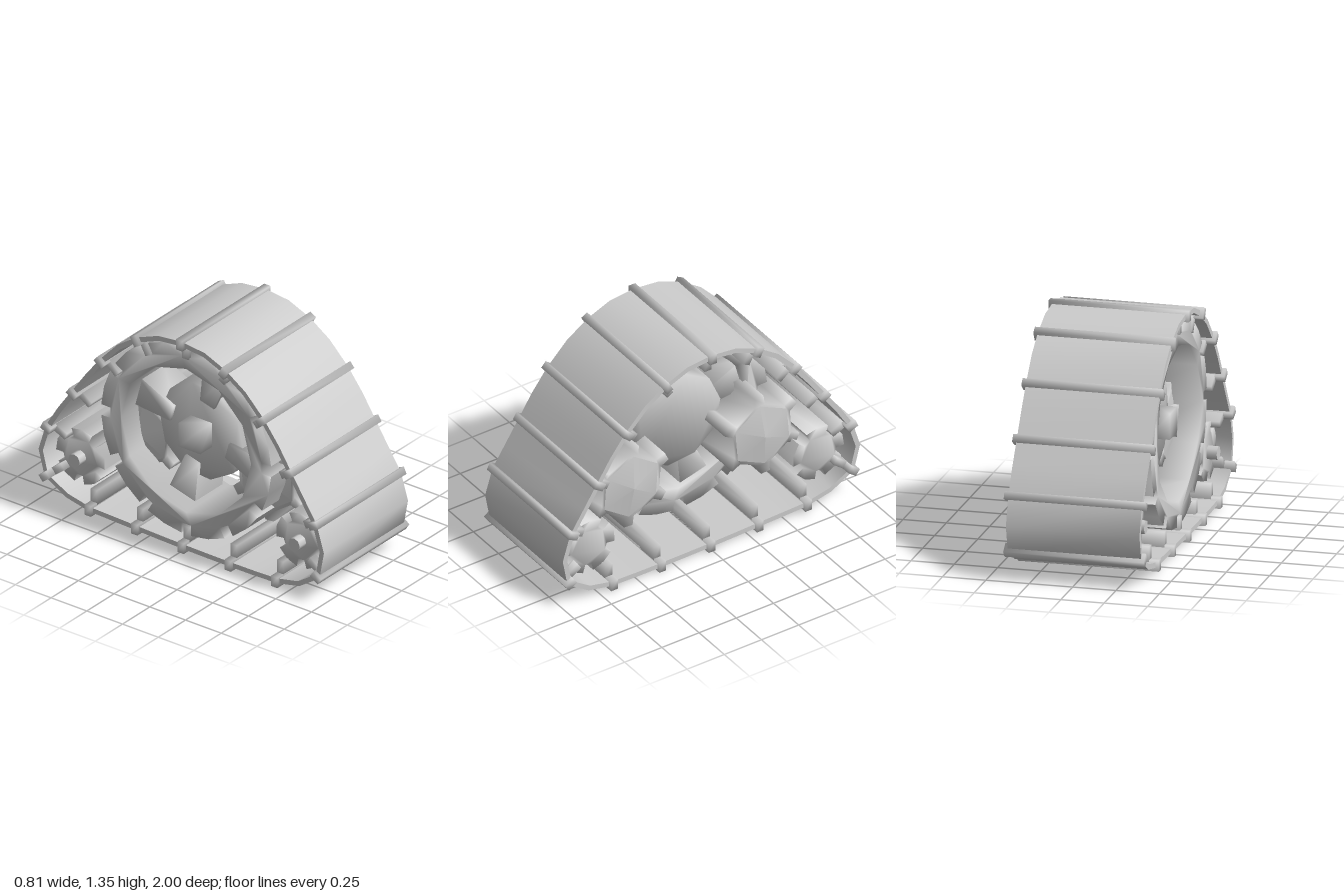
import * as THREE from 'three';
import { toCreasedNormals } from 'three/addons/utils/BufferGeometryUtils.js';

const V = (x, y) => new THREE.Vector2(x, y);
const polar = (r, a) => V(r * Math.cos(a), r * Math.sin(a));
const material = new THREE.MeshStandardMaterial({ color: 0xcccccc, side: THREE.DoubleSide });
const SOFT = 1.7; // crease angle that also softens square corners

// Everything is drawn in the side plane and extruded across the width.
export function createModel() {
  const side = new THREE.Group();
  side.name = 'trackUnit';
  side.rotation.y = Math.PI / 2;

  function add(name, geometry, parent = side) {
    const mesh = new THREE.Mesh(geometry, material);
    mesh.name = name;
    parent.add(mesh);
    return mesh;
  }

  function slab(shape, from, to, crease = SOFT) {
    const g = new THREE.ExtrudeGeometry(shape, { depth: to - from, bevelEnabled: false });
    g.translate(0, 0, from);
    return toCreasedNormals(g, crease);
  }

  const softBox = (x, y, z) => toCreasedNormals(new THREE.BoxGeometry(x, y, z), SOFT);

  // Outline of a toothed wheel; tipHalf and rootHalf are half angles of a tooth
  function toothed(count, root, tip, rootHalf, tipHalf, phase, steps = 1) {
    const pts = [];
    for (let i = 0; i < count; i++) {
      const a = phase + (i * 2 * Math.PI) / count;
      pts.push(polar(root, a - rootHalf));
      for (let k = 0; k <= steps; k++) pts.push(polar(tip, a + tipHalf * ((2 * k) / steps - 1)));
      pts.push(polar(root, a + rootHalf));
    }
    return new THREE.Shape(pts);
  }

  // Shallow pointed cap on a wheel face; dir is +1 or -1 across the width
  function cap(parent, name, radius, height, sides, phase, at, dir) {
    const g = new THREE.ConeGeometry(radius, height, sides, 1, true);
    g.rotateX((dir * Math.PI) / 2);
    g.translate(0, 0, at + (dir * height) / 2);
    g.rotateZ(phase + (dir * Math.PI) / 2);
    add(name, g, parent);
  }

  // Belt path: every even point carries a crossbar
  const path = new THREE.CatmullRomCurve3([
    [0, 1.317], [0.16, 1.3], [0.31, 1.24], [0.44, 1.15], [0.56, 1.02], [0.66, 0.89], [0.755, 0.755], [0.85, 0.62],
    [0.935, 0.48], [0.984, 0.32], [0.945, 0.17], [0.8, 0.09], [0.64, 0.055], [0.48, 0.05], [0.315, 0.045], [0.16, 0.04],
    [-0.01, 0.036], [-0.17, 0.034], [-0.34, 0.033], [-0.5, 0.034], [-0.665, 0.038], [-0.82, 0.07], [-0.955, 0.16],
    [-0.984, 0.32], [-0.935, 0.48], [-0.85, 0.61], [-0.76, 0.75], [-0.67, 0.89], [-0.57, 1.02], [-0.44, 1.15],
    [-0.305, 1.24], [-0.16, 1.3],
  ].map(([u, v]) => new THREE.Vector3(u, v, 0)), true);

  const rim = (offset) => {
    const pts = [];
    for (let i = 0; i < 32; i++) {
      const p = path.getPoint(i / 32), t = path.getTangent(i / 32);
      pts.push(V(p.x - t.y * offset, p.y + t.x * offset));
    }
    return pts;
  };
  const beltShape = new THREE.Shape(rim(0.015));
  beltShape.holes.push(new THREE.Path(rim(-0.015)));
  add('belt', slab(beltShape, -0.385, 0.385, 0.9));

  // Crossbars outside, drive lugs inside; those on the ground stand upright
  for (let i = 0; i < 16; i++) {
    const t = path.getTangent(i / 16);
    const link = new THREE.Group();
    link.name = 'trackLink';
    link.position.copy(path.getPoint(i / 16));
    link.rotation.z = i >= 6 && i <= 10 ? Math.PI : Math.atan2(t.y, t.x);
    add('crossbar', softBox(0.045, 0.064, 0.81), link);
    add('driveLug', softBox(0.045, 0.09, 0.7), link).position.y = -0.065;
    side.add(link);
  }

  // Large spoked wheel: deep toothed ring, recessed hub
  const wheel = new THREE.Group();
  wheel.name = 'driveWheel';
  wheel.position.set(0, 0.685, 0);
  const ring = toothed(12, 0.53, 0.595, 0.2, 0.205, Math.PI / 12, 2);
  ring.holes.push(new THREE.Path(Array.from({ length: 12 }, (_, i) => polar(0.455, (-i * Math.PI) / 6))));
  add('toothedRing', slab(ring, -0.34, 0.06), wheel);
  const spoke = new THREE.Shape([V(0.2, -0.05), V(0.49, -0.1), V(0.49, 0.1), V(0.2, 0.05)]);
  for (let i = 0; i < 4; i++) {
    add('spoke', slab(spoke, -0.22, 0.03), wheel).rotation.z = 1.84 + (i * Math.PI) / 2;
  }
  const hub = new THREE.Shape(Array.from({ length: 10 }, (_, i) => polar(0.295, (i * Math.PI) / 5 + 0.1)));
  add('hub', slab(hub, -0.2, 0.04), wheel);
  add('hubBoss', softBox(0.15, 0.15, 0.12), wheel).position.z = -0.25;
  side.add(wheel);

  // Pair of six-toothed gears beside the wheel
  for (const s of [-1, 1]) {
    const gear = new THREE.Group();
    gear.name = 'middleGear';
    gear.position.set(s * 0.44, 0.525, 0);
    const phase = Math.PI / 2 + s * 0.08;
    add('gearBody', slab(toothed(6, 0.205, 0.265, 0.16, 0.11, phase), -0.18, 0.24), gear);
    cap(gear, 'gearCap', 0.2, 0.03, 6, phase, 0.24, 1);
    cap(gear, 'gearCap', 0.2, 0.03, 6, phase, -0.18, -1);
    side.add(gear);
  }

  // Small end rollers with wide teeth
  for (const s of [-1, 1]) {
    const roller = new THREE.Group();
    roller.name = 'endRoller';
    roller.position.set(s * 0.77, s < 0 ? 0.29 : 0.31, 0);
    const phase = Math.PI / 2 + s * 0.05;
    add('rollerBody', slab(toothed(5, 0.12, 0.172, 0.45, 0.43, phase, 2), -0.3, 0.31), roller);
    const stub = new THREE.CylinderGeometry(0.04, 0.04, 0.08, 8);
    stub.rotateX(Math.PI / 2);
    add('axleStub', stub, roller).position.z = -0.32;
    side.add(roller);
  }

  const model = new THREE.Group();
  model.name = 'crawlerTrack';
  model.add(side);
  return model;
}
